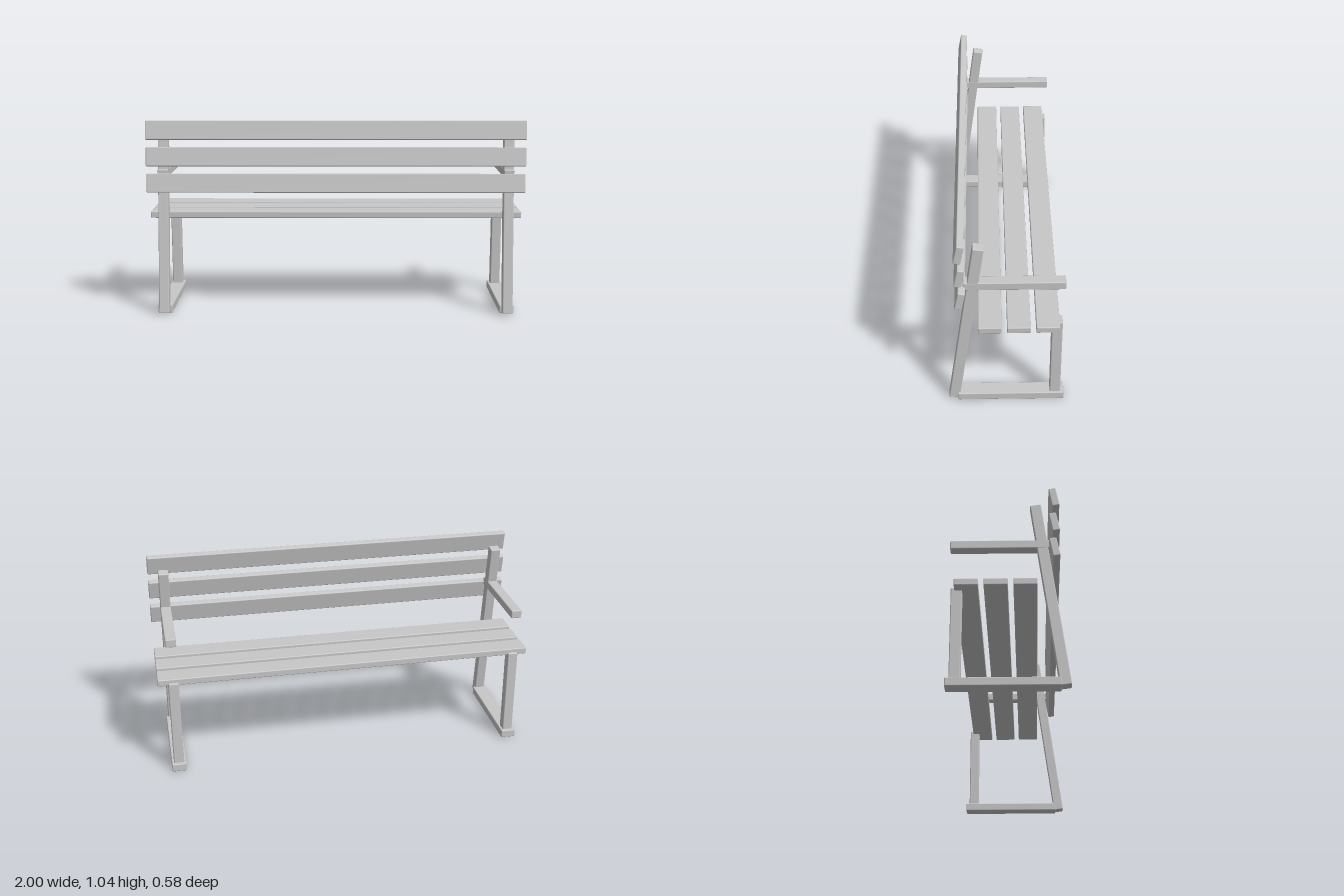
import * as THREE from 'three';
import { RoundedBoxGeometry } from 'three/addons/geometries/RoundedBoxGeometry.js';

export function createModel() {
  const bench = new THREE.Group();
  bench.name = 'bench';
  const grey = new THREE.MeshStandardMaterial({ color: 0xc8c8c8 });
  grey.name = 'plain grey';

  // Beam with slightly bevelled edges, optionally leaning about x
  function beam(name, [w, h, d], [x, y, z], lean = 0) {
    const mesh = new THREE.Mesh(new RoundedBoxGeometry(w, h, d, 1, 0.005), grey);
    mesh.name = name;
    mesh.position.set(x, y, z);
    mesh.rotation.x = lean;
    bench.add(mesh);
  }

  // Seat slats
  [0.082, -0.059, -0.2].forEach((z, i) =>
    beam(`seatSlat${i + 1}`, [2, 0.035, 0.115], [0, 0.52, z]));

  // Backrest slats, leaning more than the posts
  [0.708, 0.849, 0.99].forEach((y, i) =>
    beam(`backSlat${i + 1}`, [2, 0.101, 0.036], [0, y, 0.223], -0.19));

  // Mirrored side frames
  for (const [side, s] of [['left', 1], ['right', -1]]) {
    const x = s * 0.919;
    beam(`${side}Foot`, [0.078, 0.043, 0.538], [x, 0.0235, -0.0235]);
    beam(`${side}FrontLeg`, [0.054, 0.48, 0.054], [x, 0.278, -0.247]);
    beam(`${side}BackPost`, [0.054, 0.98, 0.054], [x, 0.494, 0.199], -0.136);
    beam(`${side}Armrest`, [0.056, 0.044, 0.49], [x, 0.755, -0.037]);
  }
  return bench;
}
